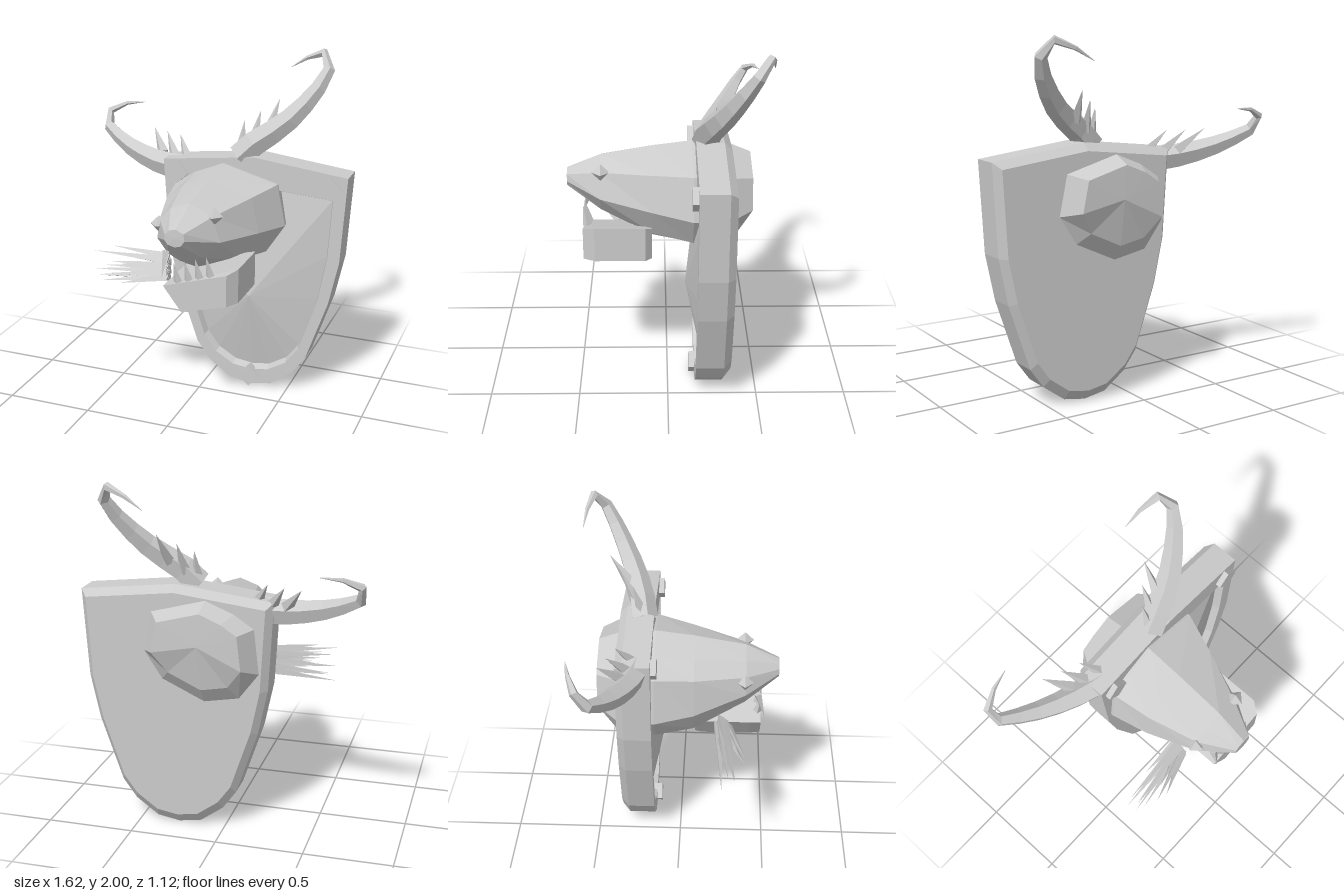
import * as THREE from 'three';

const material = new THREE.MeshStandardMaterial({ color: 0xcccccc, flatShading: true, side: THREE.DoubleSide });
const V = (p) => new THREE.Vector3(...p);

function add(parent, name, geometry) {
  const mesh = new THREE.Mesh(geometry, material);
  mesh.name = name;
  parent.add(mesh);
  return mesh;
}

// Skin rings of [x, y, z] (counter-clockwise from the front, back to front), closed by two cap points
function loft(rings, backPoint, frontPoint) {
  const n = rings[0].length, index = [];
  const points = [...rings.flat(), backPoint, frontPoint];
  const back = points.length - 2, front = points.length - 1, last = (rings.length - 1) * n;
  for (let j = 0; j < n; j++) {
    const k = (j + 1) % n;
    for (let i = 0; i < rings.length - 1; i++) {
      const a = i * n + j, b = i * n + k;
      index.push(a, b, b + n, a, b + n, a + n);
    }
    index.push(back, k, j, front, last + j, last + k);
  }
  const g = new THREE.BufferGeometry();
  g.setAttribute('position', new THREE.Float32BufferAttribute(points.flat(), 3));
  g.setIndex(index);
  g.computeVertexNormals();
  return g;
}

const atZ = (outline, z) => outline.map(([x, y]) => [x, y, z]);
const scaled = (outline, s, cx, cy) => outline.map(([x, y]) => [cx + (x - cx) * s, cy + (y - cy) * s]);

// Mirror a half outline (top to bottom) around x = cx
function mirrored(half, cx) {
  const left = half.map(([x, y]) => [cx - x, y]);
  const right = half.slice(1, -1).reverse().map(([x, y]) => [cx + x, y]);
  return [...left, ...right];
}

// Pyramid spike from a base point to a tip
function spike(parent, name, from, to, radius, sides = 4) {
  const a = V(from), b = V(to), dir = b.clone().sub(a);
  const mesh = add(parent, name, new THREE.ConeGeometry(radius, dir.length(), sides));
  mesh.position.copy(a).lerp(b, 0.5);
  mesh.quaternion.setFromUnitVectors(new THREE.Vector3(0, 1, 0), dir.normalize());
  return mesh;
}

// Tapered tube along a curve
function hornGeometry(path, radius) {
  const curve = new THREE.CatmullRomCurve3(path.map(V));
  const steps = 9, sides = 5;
  const g = new THREE.TubeGeometry(curve, steps, radius, sides);
  const pos = g.attributes.position, v = new THREE.Vector3();
  for (let i = 0; i <= steps; i++) {
    const centre = curve.getPointAt(i / steps);
    const s = Math.max(0.02, 1 - Math.pow(i / steps, 1.5));
    for (let j = 0; j <= sides; j++) {
      const k = i * (sides + 1) + j;
      v.fromBufferAttribute(pos, k).sub(centre).multiplyScalar(s).add(centre);
      pos.setXYZ(k, v.x, v.y, v.z);
    }
  }
  return g;
}

export function createModel() {
  const model = new THREE.Group();
  model.name = 'mountedTrophy';

  // Shield plaque: bevelled back, flat rim, recessed panel rising to a point
  const outer = mirrored([[0, 1.43], [0.55, 1.365], [0.52, 0.86], [0.465, 0.6], [0.34, 0.23],
    [0.26, 0.12], [0.13, 0.025], [0, 0.003]], 0.27);
  const inner = mirrored([[0, 1.26], [0.47, 1.23], [0.45, 0.88], [0.4, 0.6], [0.295, 0.28],
    [0.22, 0.18], [0.11, 0.115], [0, 0.1]], 0.27);
  add(model, 'shield', loft([
    atZ(scaled(outer, 0.93, 0.27, 0.85), -0.352), atZ(outer, -0.31), atZ(outer, -0.155),
    atZ(inner, -0.155), atZ(scaled(inner, 0.97, 0.27, 0.7), -0.2),
  ], [0.27, 0.7, -0.352], [0.27, 0.6, -0.1]));

  // Diamond studs on the rim
  for (const [x, y] of [[-0.185, 1.3], [0.725, 1.3], [0.27, 0.068]]) {
    const stud = add(model, 'stud', new THREE.BoxGeometry(0.095, 0.095, 0.05));
    stud.position.set(x, y, -0.148);
    stud.rotation.z = Math.PI / 4;
  }

  // Head: sections from the cheeks to the snout
  const head = new THREE.Group();
  head.name = 'head';
  model.add(head);
  const cheek = [[0.09, 1.38], [-0.08, 1.31], [-0.2, 1.23], [-0.23, 0.96], [-0.11, 0.8],
    [0.1, 0.76], [0.36, 0.88], [0.47, 1.05], [0.42, 1.29]];
  const middle = [[0.09, 1.352], [-0.07, 1.29], [-0.165, 1.21], [-0.185, 0.99], [-0.09, 0.84],
    [0.08, 0.8], [0.28, 0.9], [0.385, 1.07], [0.34, 1.27]];
  const muzzle = [[0.09, 1.3], [-0.02, 1.26], [-0.085, 1.19], [-0.1, 1.08], [-0.04, 1.0],
    [0.06, 0.96], [0.17, 1.0], [0.265, 1.1], [0.22, 1.24]];
  const nose = [[0.085, 1.215], [0.045, 1.205], [0.025, 1.18], [0.02, 1.15], [0.04, 1.125],
    [0.08, 1.115], [0.115, 1.125], [0.135, 1.155], [0.13, 1.195]];
  const nape = scaled(cheek, 0.72, 0.11, 1.15)
    .map(([x, y]) => [x, y, y < 1 ? -0.415 : -0.462]);
  add(head, 'skull', loft([
    nape, atZ(scaled(cheek, 0.94, 0.11, 1.06), -0.35), atZ(cheek, -0.14),
    atZ(middle, 0.08), atZ(muzzle, 0.37), atZ(nose, 0.558),
  ], [0.11, 1.13, -0.466], [0.08, 1.165, 0.56]));

  // Eyes
  for (const p of [[-0.09, 1.16, 0.365], [0.23, 1.245, 0.365]]) {
    add(head, 'eye', new THREE.OctahedronGeometry(0.05)).position.set(...p);
  }

  // Lower jaw: slanted block with bevelled front and back
  const jaw = [[0.38, 0.975], [-0.03, 0.845], [0.08, 0.69], [0.38, 0.78]];
  const jawFront = [[0.335, 0.955], [-0.03, 0.845], [0.075, 0.705], [0.335, 0.775]];
  add(head, 'lowerJaw', loft([
    atZ(jawFront, 0.085), atZ(jaw, 0.12), atZ(jaw, 0.4), atZ(jawFront, 0.465),
  ], [0.18, 0.82, 0.085], [0.18, 0.82, 0.465]));

  // Teeth along the front and side of the jaw
  for (let i = 0; i < 4; i++) {
    const x = 0.05 + i * 0.062, y = 0.875 + i * 0.02;
    spike(head, 'tooth', [x, y, 0.445], [x - 0.015, y + 0.11, 0.465], 0.025);
  }
  spike(head, 'fang', [-0.02, 1.04, 0.44], [-0.03, 0.89, 0.485], 0.025);

  // Ragged tuft of thin spikes held in the mouth
  const tuft = new THREE.Group();
  tuft.name = 'tuft';
  model.add(tuft);
  for (let i = 0; i < 15; i++) {
    const a = i * 2.4, r = Math.sqrt((i + 0.5) / 15);
    const u = Math.cos(a) * r, w = Math.sin(a) * r;
    const reach = 0.43 + 0.1 * Math.sin(i * 1.7);
    spike(tuft, 'tuftSpike', [-0.09, 0.85 + u * 0.07, 0.24 + w * 0.04],
      [-reach, 0.845 + u * 0.12, 0.29 + w * 0.1], 0.028, 3);
  }

  // Horns with hooked tips, each with a row of three spikes
  const horns = [
    { name: 'leftHorn',
      path: [[0.17, 1.41, -0.21], [0.26, 1.5, -0.23], [0.4, 1.6, -0.28], [0.54, 1.76, -0.37],
        [0.61, 1.9, -0.45], [0.575, 1.98, -0.505], [0.48, 1.95, -0.535], [0.36, 1.875, -0.555]],
      spikes: [[[0.17, 1.44, -0.22], [0.175, 1.61, -0.27]], [[0.23, 1.49, -0.26], [0.25, 1.66, -0.34]],
        [[0.31, 1.55, -0.29], [0.34, 1.72, -0.41]]] },
    { name: 'rightHorn',
      path: [[-0.14, 1.3, -0.22], [-0.28, 1.3, -0.25], [-0.45, 1.325, -0.3], [-0.65, 1.39, -0.38],
        [-0.79, 1.48, -0.46], [-0.765, 1.545, -0.5], [-0.69, 1.575, -0.53], [-0.57, 1.588, -0.558]],
      spikes: [[[-0.17, 1.34, -0.25], [-0.25, 1.47, -0.34]], [[-0.26, 1.34, -0.28], [-0.35, 1.47, -0.38]],
        [[-0.35, 1.35, -0.31], [-0.45, 1.475, -0.42]]] },
  ];
  for (const { name, path, spikes } of horns) {
    const horn = new THREE.Group();
    horn.name = name;
    model.add(horn);
    add(horn, 'hornShaft', hornGeometry(path, 0.078));
    for (const [from, to] of spikes) spike(horn, 'hornSpike', from, to, 0.036);
  }

  return model;
}
